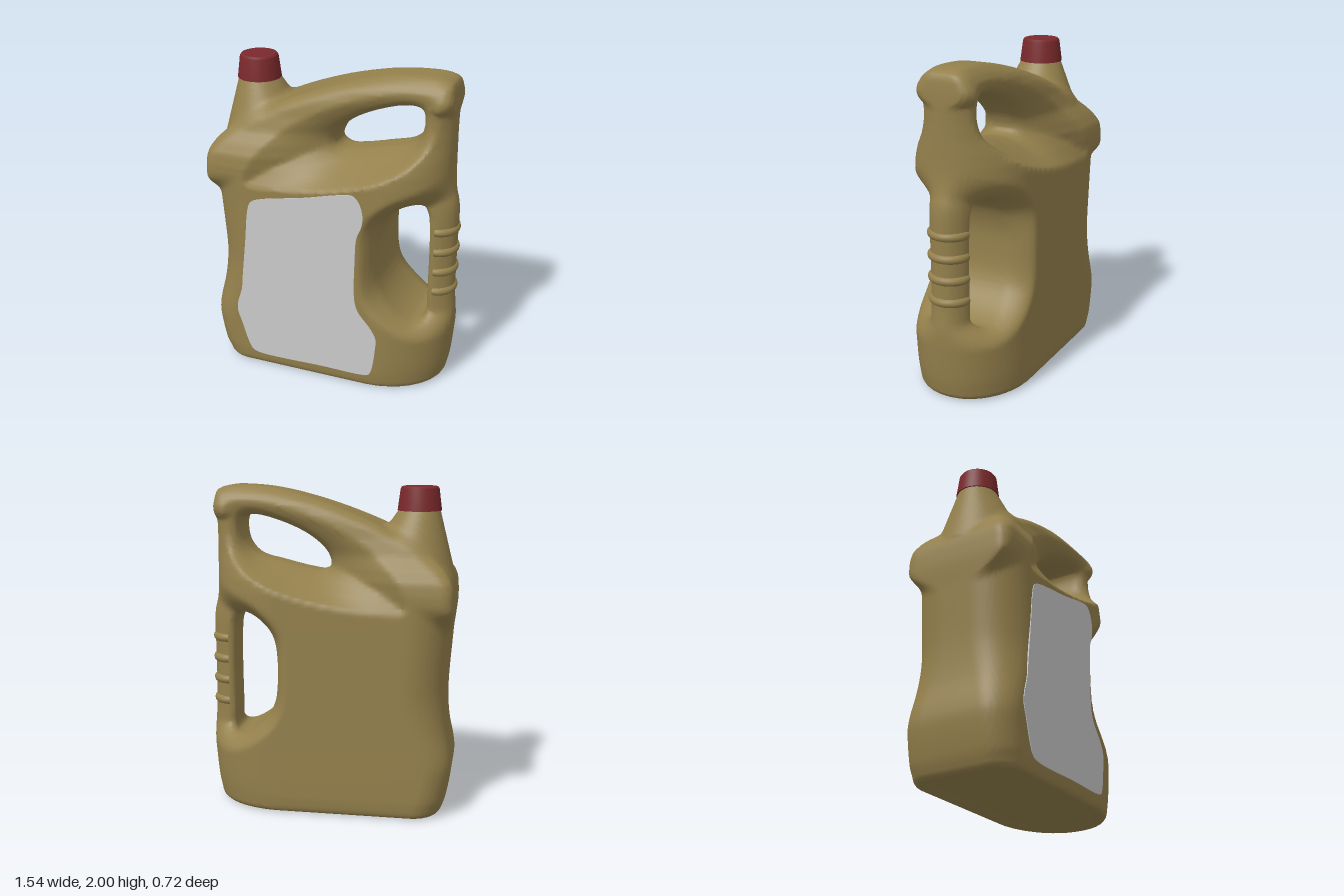
import * as THREE from 'three';

// Smooth closed outline through a few points
function outline(pts, n = 110) {
  const c = new THREE.CatmullRomCurve3(pts.map(p => new THREE.Vector3(p[0], p[1], 0)), true, 'centripetal');
  return c.getPoints(n).slice(0, n).map(p => [p.x, p.y]);
}

// Signed distance to an outline, negative inside
function distanceTo(poly, x, y) {
  let best = Infinity, inside = false;
  for (let i = 0, j = poly.length - 1; i < poly.length; j = i++) {
    const [ax, ay] = poly[i], [bx, by] = poly[j];
    const ex = bx - ax, ey = by - ay, wx = x - ax, wy = y - ay;
    const t = Math.min(1, Math.max(0, (wx * ex + wy * ey) / (ex * ex + ey * ey || 1)));
    best = Math.min(best, Math.hypot(wx - ex * t, wy - ey * t));
    if ((ay > y) !== (by > y) && x < (ex * (y - ay)) / ey + ax) inside = !inside;
  }
  return inside ? -best : best;
}

const lerp = THREE.MathUtils.lerp, smooth = THREE.MathUtils.smoothstep;

// Intersection of two solids with a rounded edge, and a filleted union
const roundMax = (a, b, r) => Math.hypot(Math.max(a + r, 0), Math.max(b + r, 0)) + Math.min(-r, Math.max(a, b));
const roundMin = (a, b, r) => -roundMax(-a, -b, r);

// Outlines seen from the front
const silhouette = outline([
  [-0.67, -0.4], [-0.7, 0], [-0.735, 0.1], [-0.77, 0.3], [-0.765, 0.38], [-0.735, 0.55], [-0.727, 0.75],
  [-0.75, 1.1], [-0.767, 1.33], [-0.745, 1.47], [-0.6, 1.62], [-0.33, 1.765], [0, 1.895], [0.3, 1.977],
  [0.5, 2], [0.64, 1.997], [0.705, 1.97], [0.72, 1.9], [0.72, 1.6], [0.72, 1.4], [0.733, 1.3], [0.755, 1.2],
  [0.755, 0.9], [0.757, 0.6], [0.767, 0.45], [0.757, 0.3], [0.74, 0.13], [0.715, 0], [0.68, -0.4],
], 200);
const topHole = outline([
  [0, 1.52], [0.04, 1.488], [0.15, 1.5], [0.3, 1.535], [0.46, 1.58], [0.53, 1.65], [0.555, 1.74],
  [0.54, 1.81], [0.47, 1.825], [0.3, 1.785], [0.12, 1.7], [0.02, 1.6],
]);
const scoop = outline([
  [-0.5, 1.28], [-0.3, 1.27], [0, 1.31], [0.3, 1.39], [0.5, 1.49], [0.62, 1.62], [0.655, 1.8], [0.62, 1.9],
  [0.5, 1.915], [0.3, 1.88], [0, 1.78], [-0.3, 1.6], [-0.46, 1.42],
]);
const sideHole = outline([
  [0.305, 0.85], [0.315, 1], [0.37, 1.13], [0.46, 1.205], [0.55, 1.222], [0.59, 1.17], [0.605, 1.05],
  [0.605, 0.6], [0.6, 0.47], [0.56, 0.45], [0.47, 0.49], [0.37, 0.59], [0.32, 0.7],
]);
const gripRecess = outline([
  [0.25, 0.9], [0.27, 1.12], [0.4, 1.27], [0.58, 1.36], [0.75, 1.43], [1, 1.45], [1, 0.34], [0.75, 0.36],
  [0.58, 0.37], [0.42, 0.46], [0.28, 0.62],
]);

// Half depth of the body at each height
const depthKeys = [[0, 0.35], [0.1, 0.36], [1.38, 0.36], [1.45, 0.35], [1.52, 0.315], [1.6, 0.26], [1.7, 0.228],
  [1.8, 0.208], [1.9, 0.175], [1.97, 0.135], [2.1, 0.1]];
function halfDepth(y) {
  for (let i = 1; i < depthKeys.length; i++) {
    const [y0, d0] = depthKeys[i - 1], [y1, d1] = depthKeys[i];
    if (y <= y1) return lerp(d0, d1, Math.max(0, (y - y0) / (y1 - y0)));
  }
  return 0.1;
}

// Bottle solid along z at one (x, y), negative inside
function column(x, y) {
  const hole1 = distanceTo(topHole, x, y), hole2 = distanceTo(sideHole, x, y);
  const s = distanceTo(scoop, x, y), g = distanceTo(gripRecess, x, y);
  let depth = halfDepth(y);
  if (s < 0) {
    const h = Math.max(hole1, 0), rim = lerp(0.09, 0.135, smooth(y, 1.55, 1.75));
    depth = lerp(rim, depth, h / (h - s));
  }
  if (g < 0.02) depth = lerp(Math.min(0.13, depth), depth, smooth(g, -0.15, 0.02));
  // wide upright corners, longer at the right end, and a tighter edge along the sloping top
  const topLine = 1.9 + 0.38 * x - 0.37 * x * x;
  const nearTop = smooth(y, topLine - 0.3, topLine - 0.1);
  const rightward = smooth(x, -0.2, 0.3);
  const side = distanceTo(silhouette, x, y) * lerp(1, 0.78, rightward * (1 - nearTop));
  let r = lerp(lerp(0.17, 0.26, smooth(y, 0.3, 0.8)), 0.35, rightward);
  r = Math.min(lerp(r, 0.065, nearTop), depth * 0.97);
  const hole = Math.min(hole1, hole2);
  return z => {
    const wall = roundMax(side, Math.abs(z) - depth, r);
    // slightly hollow underside
    const base = 0.022 * smooth(-wall, 0.06, 0.13) - y;
    let f = roundMax(wall, base, 0.035);
    // leaning neck cone
    const drop = 1.86 - y;
    const ring = (Math.hypot(x + 0.533 - drop * 0.22, z) - 0.125 - drop * 0.47) * 0.88;
    f = roundMin(f, Math.max(ring, y - 1.88, 1.45 - y), lerp(0.004, 0.04, smooth(y, 1.5, 1.7)));
    return roundMax(f, -hole, 0.045);
  };
}

// Skin a solid: one vertex per crossed grid cell, one quad per crossed edge
function skin(solid, min, max, step) {
  const n = min.map((v, i) => Math.round((max[i] - v) / step) + 1);
  const stride = [1, n[0], n[0] * n[1]];
  const value = new Float32Array(n[0] * n[1] * n[2]);
  for (let j = 0; j < n[1]; j++) for (let i = 0; i < n[0]; i++) {
    const f = solid(min[0] + i * step, min[1] + j * step);
    for (let k = 0; k < n[2]; k++) value[i + j * stride[1] + k * stride[2]] = f(min[2] + k * step);
  }
  const id = new Int32Array(value.length).fill(-1), pos = [], index = [];
  const each = (from, fn) => {
    for (let k = from; k < n[2] - 1; k++) for (let j = from; j < n[1] - 1; j++)
      for (let i = from; i < n[0] - 1; i++) fn([i, j, k], i + j * stride[1] + k * stride[2]);
  };
  each(0, (p, o) => {
    const sum = [0, 0, 0];
    let count = 0;
    for (let c = 0; c < 8; c++) for (let a = 0; a < 3; a++) {
      if (c & (1 << a)) continue;
      const bits = [c & 1, (c >> 1) & 1, c >> 2];
      const q = o + bits[0] + bits[1] * stride[1] + bits[2] * stride[2];
      const v0 = value[q], v1 = value[q + stride[a]];
      if ((v0 < 0) === (v1 < 0)) continue;
      bits[a] = v0 / (v0 - v1);
      bits.forEach((b, m) => { sum[m] += b; });
      count++;
    }
    if (!count) return;
    id[o] = pos.length / 3;
    for (let m = 0; m < 3; m++) pos.push(min[m] + (p[m] + sum[m] / count) * step);
  });
  each(1, (p, o) => {
    for (let a = 0; a < 3; a++) {
      const inside = value[o] < 0;
      if (inside === value[o + stride[a]] < 0) continue;
      const b = stride[(a + 1) % 3], c = stride[(a + 2) % 3];
      const q = [id[o - b - c], id[o - c], id[o], id[o - b]];
      if (!inside) q.reverse();
      index.push(q[0], q[1], q[2], q[0], q[2], q[3]);
    }
  });
  const geo = new THREE.BufferGeometry();
  geo.setAttribute('position', new THREE.Float32BufferAttribute(pos, 3));
  geo.setIndex(index);
  geo.computeVertexNormals();
  return geo;
}

export function createModel() {
  const model = new THREE.Group();
  const paint = (name, color) => {
    const m = new THREE.MeshStandardMaterial({ color });
    m.name = name;
    return m;
  };
  const plastic = paint('olive gold plastic', 0x94804c);
  const red = paint('dark red plastic', 0x7a292c);
  const grey = paint('light grey label', 0xcacaca);
  const add = (name, geo, mat) => {
    const mesh = new THREE.Mesh(geo, mat);
    mesh.name = name;
    model.add(mesh);
    return mesh;
  };

  add('bottleBody', skin(column, [-0.828, -0.045, -0.414], [0.828, 2.043, 0.414], 0.018), plastic);

  // Finger ribs around the side grip
  for (let i = 0; i < 4; i++) {
    const rib = new THREE.TorusGeometry(0.106, 0.028, 12, 28, Math.PI);
    rib.rotateZ(-Math.PI / 2).rotateX(Math.PI / 2).scale(0.93, 1, 1);
    add('gripRib', rib, plastic).position.set(0.645, 1.047 - i * 0.135, 0);
  }

  // Screw cap, with doubled points for crisp edges
  const capProfile = [[0, 1.855], [0.134, 1.855], [0.134, 1.855], [0.132, 1.87],
    [0.117, 1.985], [0.109, 1.997], [0.1, 2], [0.1, 2], [0, 2]];
  const cap = new THREE.LatheGeometry(capProfile.map(p => new THREE.Vector2(...p)), 40);
  add('cap', cap, red).position.x = -0.533;

  // Flat label on the front
  const label = new THREE.Shape(outline([
    [-0.44, 0.09], [-0.48, 0.11], [-0.51, 0.17], [-0.55, 0.3], [-0.575, 0.38], [-0.572, 0.44], [-0.54, 0.55],
    [-0.53, 0.64], [-0.5, 0.9], [-0.475, 1.12], [-0.455, 1.17], [-0.41, 1.195], [-0.1, 1.26], [0.15, 1.32],
    [0.21, 1.322], [0.25, 1.28], [0.272, 1.2], [0.265, 1.13], [0.235, 1.05], [0.225, 0.9], [0.225, 0.62],
    [0.25, 0.54], [0.33, 0.44], [0.365, 0.37], [0.362, 0.29], [0.34, 0.14], [0.32, 0.1], [0.28, 0.09], [0, 0.09],
  ], 160).map(p => new THREE.Vector2(...p)));
  add('frontLabel', new THREE.ExtrudeGeometry(label, { depth: 0.009, bevelEnabled: false }), grey).position.z = 0.355;

  return model;
}
